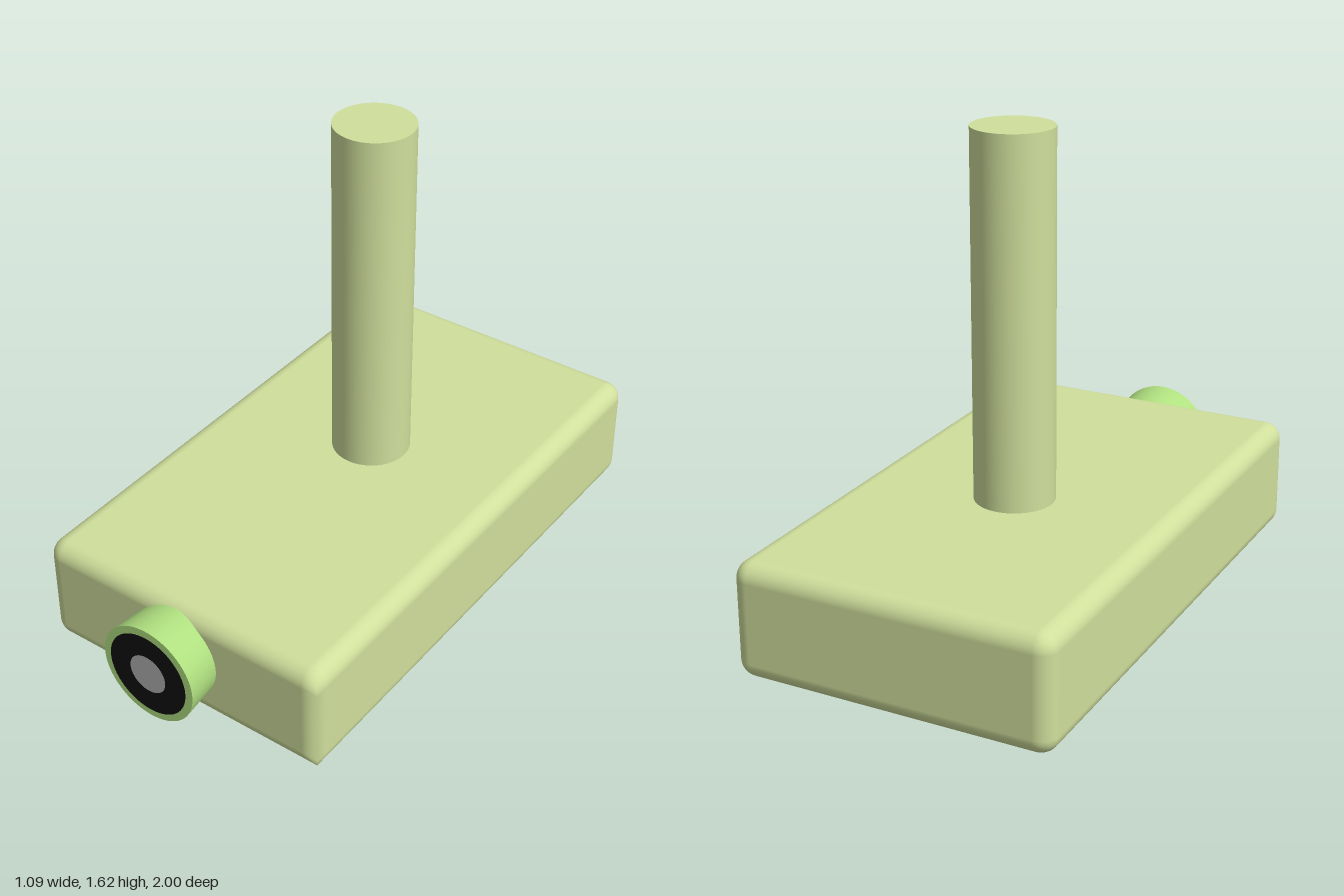
import * as THREE from 'three';
import { RoundedBoxGeometry } from 'three/addons/geometries/RoundedBoxGeometry.js';

const mat = (color) => new THREE.MeshStandardMaterial({ color });

function part(name, geometry, material, x, y, z) {
  const mesh = new THREE.Mesh(geometry, material);
  mesh.name = name;
  mesh.position.set(x, y, z);
  return mesh;
}

// Rounded slab whose vertical edge at +x, +z is left square
function bodyGeometry(w, h, d, r) {
  const geo = new RoundedBoxGeometry(w, h, d, 6, r);
  const p = geo.attributes.position;
  const cx = w / 2 - r, cz = d / 2 - r;
  for (let i = 0; i < p.count; i++) {
    const dx = p.getX(i) - cx, dz = p.getZ(i) - cz;
    if (dx <= 0 || dz <= 0) continue;
    const s = Math.hypot(dx, dz) / Math.max(dx, dz);
    p.setX(i, cx + dx * s);
    p.setZ(i, cz + dz * s);
  }
  return geo;
}

export function createModel() {
  const model = new THREE.Group();
  const olive = mat(0xd0df9c);
  const green = mat(0xb0e080);
  const black = mat(0x111111);
  const grey = mat(0xb4b2b4);

  // Body slab and upright post
  model.add(part('body', bodyGeometry(1.085, 0.39, 1.87, 0.06), olive, 0, 0.195, -0.065));
  model.add(part('post', new THREE.CylinderGeometry(0.134, 0.134, 1.265, 64), olive, 0.004, 0.9825, -0.174));

  // Flared lens barrel with flat dark ring and pale centre
  const lens = new THREE.Group();
  lens.name = 'lens';
  lens.position.set(-0.01, 0.21, 0);
  const barrel = new THREE.CylinderGeometry(0.176, 0.157, 0.2, 64).rotateX(Math.PI / 2);
  lens.add(part('lensBarrel', barrel, green, 0, 0, 0.898));
  lens.add(part('lensRing', new THREE.RingGeometry(0.07, 0.15, 64), black, 0, 0, 1));
  lens.add(part('lensCentre', new THREE.CircleGeometry(0.07, 48), grey, 0, 0, 1));
  model.add(lens);

  return model;
}
